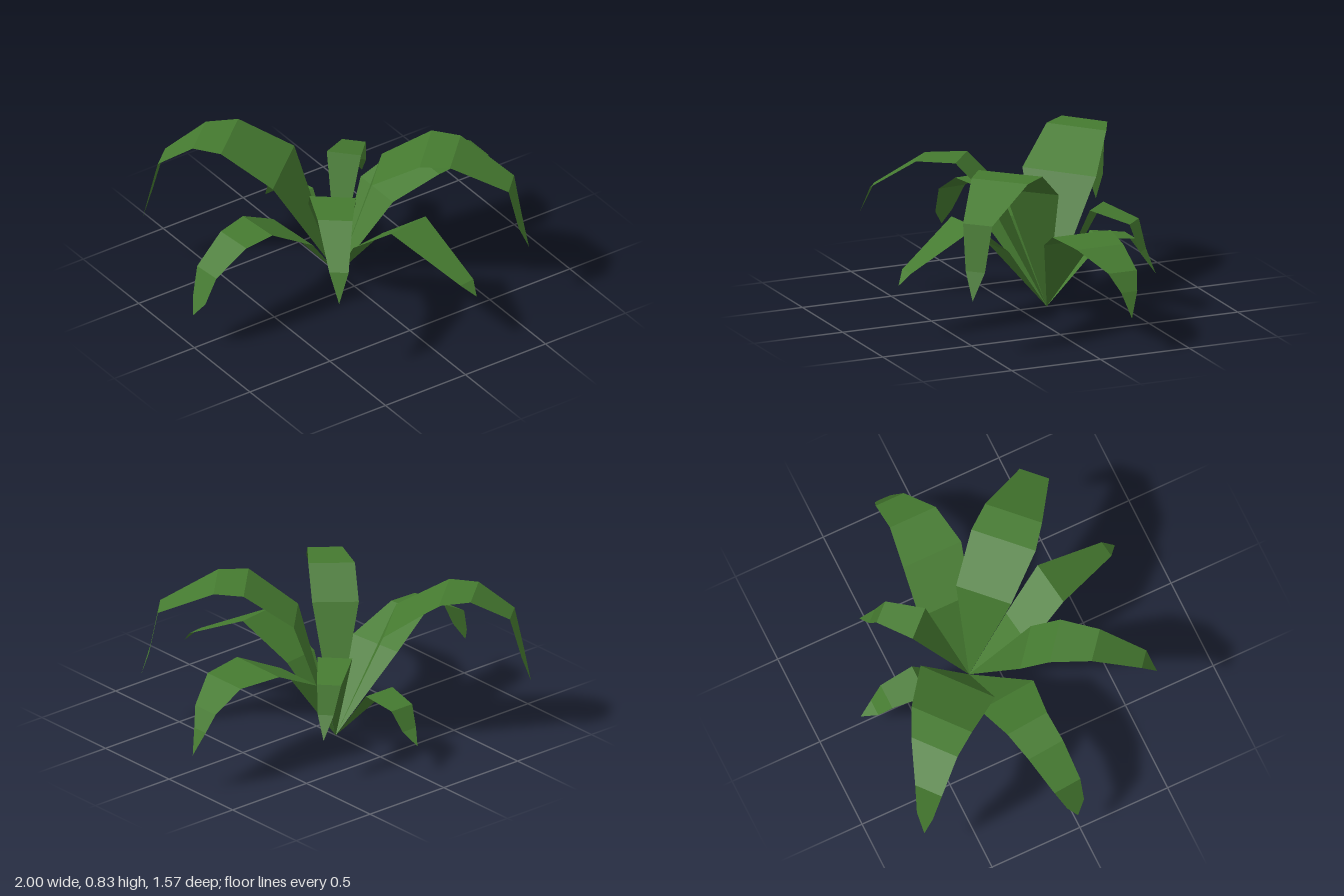
import * as THREE from 'three';

const leafGreen = new THREE.MeshStandardMaterial({ color: 0x457a30, flatShading: true, side: THREE.DoubleSide });
leafGreen.name = 'leafGreen';

// All leaves fan out from one point on the ground
const ROOT = [0, 0.005, -0.15];

// A folded strip: pointed root, sections [x, y, z, halfWidth] set across the heading, pointed tip
function makeLeaf(name, headingDeg, sections, tip) {
  const a = THREE.MathUtils.degToRad(headingDeg);
  const ax = Math.cos(a), az = -Math.sin(a);
  const positions = [];
  const tri = (...corners) => corners.forEach((c) => positions.push(...c));
  const edges = sections.map(([x, y, z, h]) => [
    [x - ax * h, y, z - az * h],
    [x + ax * h, y, z + az * h],
  ]);

  tri(ROOT, edges[0][1], edges[0][0]);
  for (let i = 0; i < edges.length - 1; i++) {
    const [l0, r0] = edges[i], [l1, r1] = edges[i + 1];
    tri(l0, r0, l1);
    tri(r0, r1, l1);
  }
  const [l, r] = edges[edges.length - 1];
  tri(l, r, tip);

  const geometry = new THREE.BufferGeometry();
  geometry.setAttribute('position', new THREE.Float32BufferAttribute(positions, 3));
  geometry.computeVertexNormals();
  const mesh = new THREE.Mesh(geometry, leafGreen);
  mesh.name = name;
  return mesh;
}

export function createModel() {
  const plant = new THREE.Group();
  plant.name = 'leafyPlant';

  plant.add(
    // Tall arching leaves
    makeLeaf('backRightLeaf', -140, [
      [-0.22, 0.645, -0.32, 0.21],
      [-0.425, 0.81, -0.51, 0.17],
      [-0.545, 0.81, -0.61, 0.13],
      [-0.705, 0.68, -0.72, 0.075],
      [-0.745, 0.45, -0.76, 0.045],
    ], [-0.78, 0.3, -0.78]),
    makeLeaf('frontLeftLeaf', 45, [
      [0.14, 0.67, 0, 0.15],
      [0.31, 0.84, 0.195, 0.175],
      [0.42, 0.84, 0.305, 0.155],
      [0.62, 0.685, 0.52, 0.08],
      [0.657, 0.447, 0.55, 0.053],
    ], [0.69, 0.3, 0.58]),
    makeLeaf('frontRightLeaf', -39, [
      [-0.195, 0.62, 0.078, 0.12],
      [-0.278, 0.772, 0.205, 0.12],
      [-0.388, 0.767, 0.385, 0.09],
      [-0.513, 0.61, 0.6, 0.05],
    ], [-0.55, 0.46, 0.655]),

    // Wide spreading side leaves
    makeLeaf('leftLeaf', 90, [
      [0.255, 0.415, -0.165, 0.145],
      [0.5, 0.53, -0.12, 0.165],
      [0.73, 0.52, -0.12, 0.13],
      [0.9, 0.425, -0.17, 0.08],
      [0.95, 0.33, -0.185, 0.045],
    ], [0.995, 0.2, -0.18]),
    makeLeaf('rightLeaf', -85, [
      [-0.32, 0.41, -0.09, 0.16],
      [-0.547, 0.54, -0.082, 0.118],
      [-0.715, 0.53, -0.057, 0.103],
      [-0.905, 0.42, -0.025, 0.077],
      [-0.965, 0.28, -0.007, 0.05],
    ], [-1, 0.2, -0.01]),

    // Short leaves
    makeLeaf('frontLeaf', 8, [
      [0, 0.355, 0.125, 0.105],
      [0.09, 0.542, 0.357, 0.12],
      [0.198, 0.35, 0.728, 0.045],
    ], [0.22, 0.285, 0.785]),
    makeLeaf('backLeaf', 180, [
      [-0.035, 0.345, -0.45, 0.09],
      [-0.03, 0.32, -0.635, 0.07],
      [-0.025, 0.22, -0.7, 0.045],
    ], [-0.016, 0.155, -0.775]),
    makeLeaf('backLeftLeaf', 133, [
      [0.178, 0.565, -0.35, 0.09],
      [0.338, 0.508, -0.49, 0.062],
      [0.385, 0.362, -0.518, 0.041],
    ], [0.44, 0.248, -0.565]),
  );

  return plant;
}
